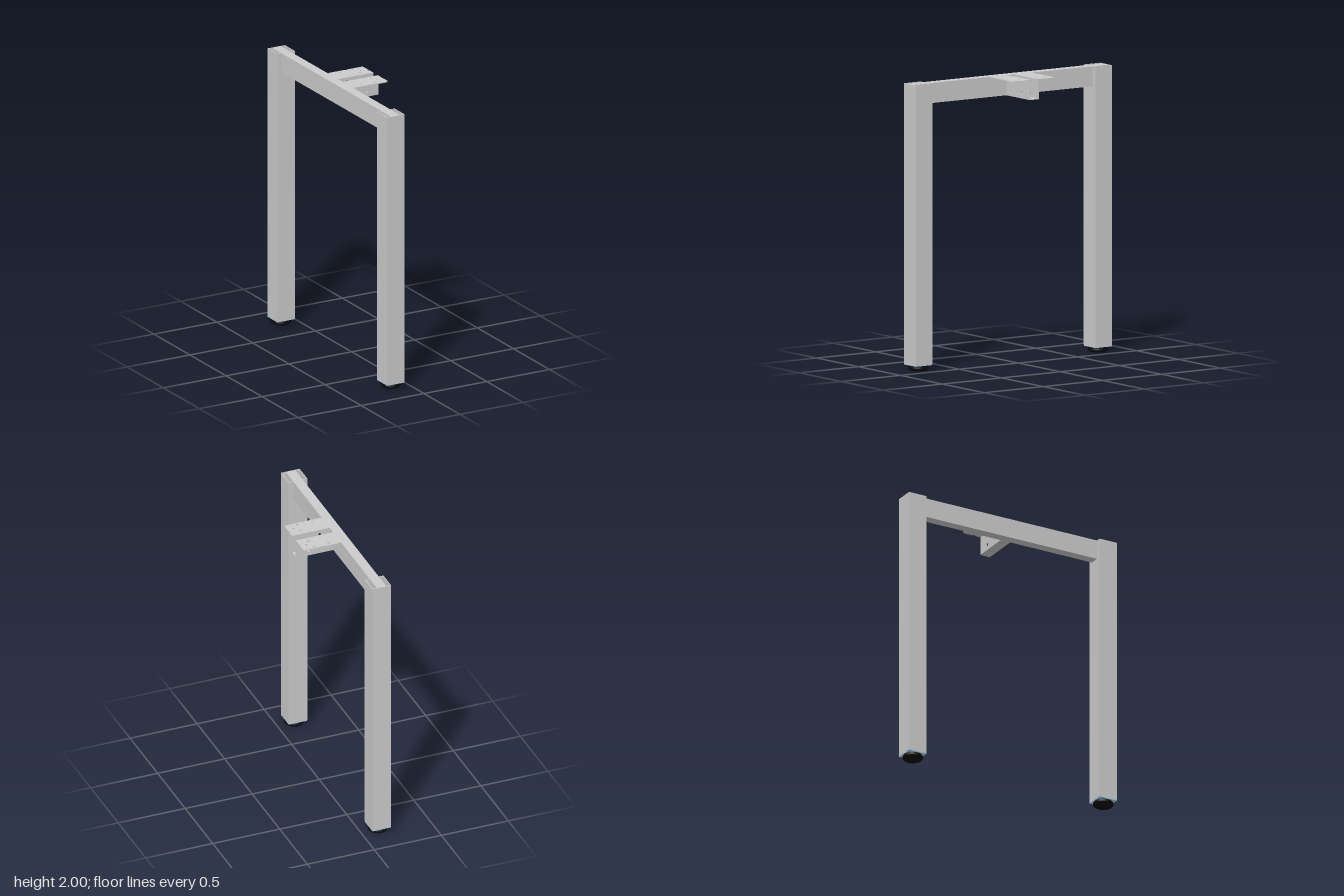
import * as THREE from 'three';

const grey = new THREE.MeshStandardMaterial({ color: 0xcccccc });
const black = new THREE.MeshStandardMaterial({ color: 0x0a0a0a });
const blue = new THREE.MeshStandardMaterial({ color: 0xb4d4ec });

const LEG_X = -0.125, LEG_Z = 0.76, LEG_W = 0.14, TOP = 2, LEG_BOTTOM = 0.045;
const T = 0.006; // sheet thickness

function add(parent, name, geometry, material, x = 0, y = 0, z = 0) {
  const mesh = new THREE.Mesh(geometry, material);
  mesh.name = name;
  mesh.position.set(x, y, z);
  parent.add(mesh);
  return mesh;
}

function square(Kind, h) {
  const p = new Kind();
  p.moveTo(-h, -h).lineTo(h, -h).lineTo(h, h).lineTo(-h, h).closePath();
  return p;
}

function punch(shape, holes, r) {
  for (const [x, y] of holes) {
    const hole = new THREE.Path();
    hole.absarc(x, y, r, 0, Math.PI * 2, true);
    shape.holes.push(hole);
  }
}

const extrude = (shape, depth) =>
  new THREE.ExtrudeGeometry(shape, { depth, bevelEnabled: false, curveSegments: 8 });

// Open square tube with a ribbed plug and levelling foot
function makeLeg(name, z) {
  const leg = new THREE.Group();
  leg.name = name;
  leg.position.set(LEG_X, 0, z);

  const section = square(THREE.Shape, LEG_W / 2);
  section.holes.push(square(THREE.Path, LEG_W / 2 - T));
  const tube = extrude(section, TOP - LEG_BOTTOM);
  tube.rotateX(-Math.PI / 2);
  add(leg, 'legTube', tube, grey, 0, LEG_BOTTOM);

  const inner = LEG_W - 2 * T;
  add(leg, 'plugPlate', new THREE.BoxGeometry(LEG_W - 0.002, 0.01, LEG_W - 0.002), blue, 0, 0.043);
  add(leg, 'plugSocket', new THREE.CylinderGeometry(0.022, 0.022, 0.06, 20), blue, 0, 0.075);
  for (let i = 0; i < 4; i++) {
    const rib = add(leg, 'plugRib', new THREE.BoxGeometry(inner, 0.05, 0.004), blue, 0, 0.072);
    rib.rotation.y = i * Math.PI / 4;
  }

  const profile = [[0, 0.002], [0.05, 0], [0.062, 0.006], [0.07, 0.014], [0.071, 0.024],
    [0.066, 0.034], [0.05, 0.038], [0, 0.039]].map(([r, y]) => new THREE.Vector2(r, y));
  add(leg, 'foot', new THREE.LatheGeometry(profile, 32), black);
  return leg;
}

// Hat-section bracket: channel with two perforated flanges
function makeBracket() {
  const bracket = new THREE.Group();
  bracket.name = 'bracket';
  const x0 = -0.09, x1 = 0.19, bottom = 1.86, half = 0.038, outer = 0.178, r = 0.018;
  const length = x1 - x0, mid = (x0 + x1) / 2;

  add(bracket, 'channelFloor', new THREE.BoxGeometry(length, T, half * 2), grey, mid, bottom + T / 2);

  for (const side of [1, -1]) {
    // Side wall with two bolt holes
    const wall = new THREE.Shape();
    wall.moveTo(x0, bottom).lineTo(x1, bottom).lineTo(x1, TOP - 0.001).lineTo(x0, TOP - 0.001).closePath();
    punch(wall, [[-0.02, 1.965], [0.095, 1.9]], 0.012);
    add(bracket, 'channelWall', extrude(wall, T), grey, 0, 0, side > 0 ? half - T : -half);

    // Flange with rounded corners and small edge notches
    const f = new THREE.Shape();
    f.moveTo(x0, half - T).lineTo(x1, half - T);
    f.lineTo(x1, 0.082).lineTo(x1 - 0.012, 0.087).lineTo(x1 - 0.012, 0.093).lineTo(x1, 0.098);
    f.lineTo(x1, outer - r).quadraticCurveTo(x1, outer, x1 - r, outer);
    f.lineTo(mid + 0.02, outer).quadraticCurveTo(mid + 0.006, outer, mid, outer - 0.012);
    f.quadraticCurveTo(mid - 0.006, outer, mid - 0.02, outer);
    f.lineTo(x0 + r, outer).quadraticCurveTo(x0, outer, x0, outer - r).closePath();
    punch(f, [[-0.01, 0.147], [0.1, 0.155], [0.142, 0.114], [0.111, 0.075]], 0.009);
    const flange = extrude(f, T);
    flange.rotateX(-Math.PI / 2);
    const mesh = add(bracket, 'flange', flange, grey, 0, TOP - T);
    mesh.scale.z = -side;
  }
  return bracket;
}

export function createModel() {
  const model = new THREE.Group();
  model.name = 'tableLegFrame';
  model.add(makeLeg('frontLeg', LEG_Z), makeLeg('backLeg', -LEG_Z));

  // Cross beam running through both leg tops
  add(model, 'crossBeam', new THREE.BoxGeometry(0.07, 0.14, 2 * LEG_Z + LEG_W - 0.004), grey, LEG_X, 1.93);

  model.add(makeBracket());
  return model;
}
